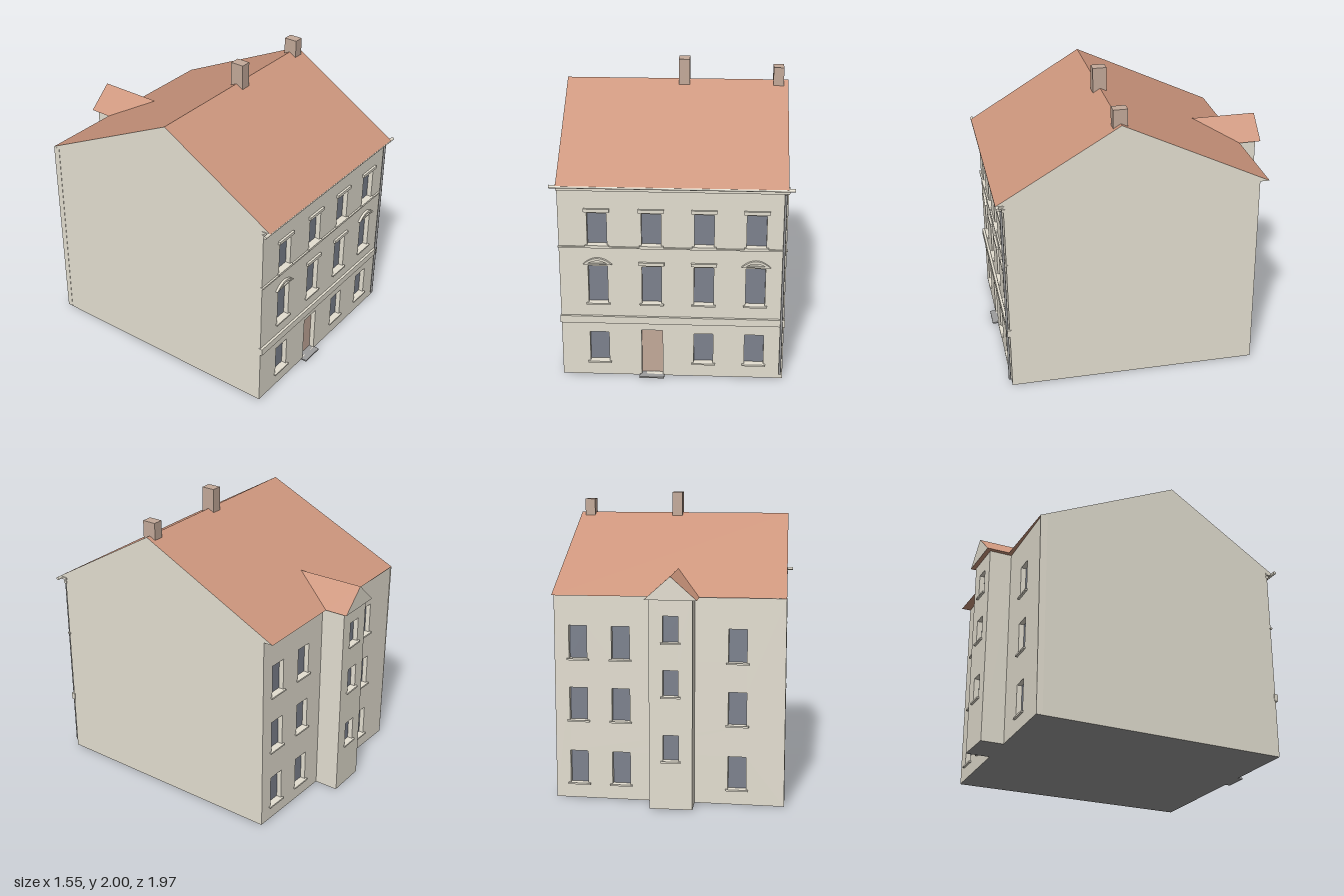
import * as THREE from 'three';

const mat = (name, color) => {
  const m = new THREE.MeshStandardMaterial({ color });
  m.name = name;
  return m;
};

export function createModel() {
  const house = new THREE.Group();
  house.name = 'townHouse';
  const wall = mat('plaster', 0xe4dfd1);
  const tile = mat('roofTile', 0xcd967d);
  const glass = mat('windowGlass', 0x7d828e);
  const brown = mat('doorAndChimneyBrown', 0xc4aa9a);
  const grey = mat('stoneGrey', 0x9d9d9d);

  const add = (parent, name, geo, m) => {
    const mesh = new THREE.Mesh(geo, m);
    mesh.name = name;
    parent.add(mesh);
    return mesh;
  };
  // box given by its lower and upper corner
  const box = (parent, name, m, x0, x1, y0, y1, z0, z1) => {
    const b = add(parent, name, new THREE.BoxGeometry(x1 - x0, y1 - y0, z1 - z0), m);
    b.position.set((x0 + x1) / 2, (y0 + y1) / 2, (z0 + z1) / 2);
    return b;
  };
  // flat polygons, each split as a fan from its first corner
  const faces = (name, m, polys) => {
    const pos = [];
    for (const p of polys)
      for (let i = 1; i < p.length - 1; i++) pos.push(...p[0], ...p[i], ...p[i + 1]);
    const g = new THREE.BufferGeometry();
    g.setAttribute('position', new THREE.Float32BufferAttribute(pos, 3));
    g.computeVertexNormals();
    return add(house, name, g, m);
  };

  // the plan widens slightly towards the back
  const ZF = 0.93, EAVE = 1.375, RIDGE = 1.855, RZ = 0.165, E0 = 0.98, E1 = -0.83;
  const xl = z => -0.734 - 0.0166 * (E0 - z);
  const xr = z => 0.733 + 0.0138 * (E0 - z);
  const BR = -0.765, BL = -0.822, DEPTH = 0.04;

  // wall panel from a to b (seen from outside) with recessed openings and sills
  const facade = (name, a, b, openings) => {
    const g = new THREE.Group();
    g.name = name;
    g.position.set(a[0], 0, a[1]);
    g.rotation.y = Math.atan2(a[1] - b[1], b[0] - a[0]);
    house.add(g);
    const len = Math.hypot(b[0] - a[0], b[1] - a[1]);
    const rect = (S, x0, x1, y0, y1) => {
      const s = new S();
      s.moveTo(x0, y0); s.lineTo(x1, y0); s.lineTo(x1, y1); s.lineTo(x0, y1); s.closePath();
      return s;
    };
    const shape = rect(THREE.Shape, 0, len, 0.002, EAVE - 0.002);
    for (const o of openings) {
      const u = Math.abs(o.x - a[0]), x0 = u - o.w / 2, x1 = u + o.w / 2;
      shape.holes.push(rect(THREE.Path, x0, x1, o.y0, o.y1));
      box(g, o.door ? 'door' : 'windowPane', o.door ? brown : glass,
        x0, x1, o.y0, o.y1, -DEPTH, -DEPTH + 0.006);
      if (!o.door) box(g, 'windowSill', wall, x0 - 0.015, x1 + 0.015, o.y0 - 0.011, o.y0, -0.03, 0.015);
    }
    const geo = new THREE.ExtrudeGeometry(shape, { depth: DEPTH, bevelEnabled: false });
    geo.translate(0, 0, -DEPTH);
    add(g, name + 'Wall', geo, wall);
  };

  // front openings
  const columns = [-0.485, -0.135, 0.205, 0.54];
  const front = [{ x: -0.135, w: 0.14, y0: 0.01, y1: 0.342, door: true }];
  columns.forEach((x, i) => {
    if (i !== 1) front.push({ x, w: 0.127, y0: 0.105, y1: 0.322 });
    front.push({ x, w: 0.127, y0: 0.54, y1: 0.805 }, { x, w: 0.127, y0: 0.955, y1: 1.175 });
  });
  facade('front', [xl(ZF), ZF], [xr(ZF), ZF], front);

  // back openings
  const back = [];
  for (const x of [0.6, 0.315, -0.455])
    for (const y0 of [0.105, 0.535, 0.95]) back.push({ x, w: 0.12, y0, y1: y0 + 0.22 });
  facade('back', [xr(BR), BR], [xl(BL), BL], back);

  // stair tower
  const T0 = -0.175, T1 = 0.105, TZ = -0.955, TI = -0.76;
  facade('stairTower', [T1, TZ], [T0, TZ],
    [0.325, 0.75, 1.1].map(y0 => ({ x: -0.035, w: 0.1, y0, y1: y0 + 0.17 })));
  faces('stairTowerSides', wall, [
    [[T1, 0, TI], [T1, 0, TZ], [T1, EAVE, TZ], [T1, EAVE, TI]],
    [[T0, 0, TZ], [T0, 0, TI], [T0, EAVE, TI], [T0, EAVE, TZ]],
  ]);

  // gable walls and underside
  const side = (f, zb) => [[RIDGE, RZ], [EAVE, E0], [EAVE, ZF], [0, ZF], [0, zb], [EAVE, zb], [EAVE, E1]]
    .map(([y, z]) => [f(z), y, z]);
  faces('gableWalls', wall, [side(xr, BR), side(xl, BL).reverse()]);
  faces('underside', grey, [
    [[xl(ZF), 0, ZF], [xl(BL), 0, BL], [xr(BR), 0, BR], [xr(ZF), 0, ZF]],
    [[T0, 0, BR], [T0, 0, TZ], [T1, 0, TZ], [T1, 0, BR]],
  ]);

  // main roof slopes and soffit
  const P = (f, y, z) => [f(z), y, z];
  const fl = P(xl, EAVE, E0), fr = P(xr, EAVE, E0), rl = P(xl, RIDGE, RZ), rr = P(xr, RIDGE, RZ);
  const bl = P(xl, EAVE, E1), br = P(xr, EAVE, E1);
  faces('mainRoof', tile, [[fl, fr, rr, rl], [br, bl, rl, rr], [fl, bl, br, fr]]);

  // tower roof running into the back slope
  const TE = -0.985, L = -0.206, R = 0.132, M = -0.037;
  const top = [M, 1.525, TE], meet = [M, 1.525, -0.525];
  faces('towerRoof', tile, [
    [[R, EAVE, E1], [R, EAVE, TE], top, meet],
    [[L, EAVE, TE], [L, EAVE, E1], meet, top],
    [[L, EAVE, E1], [L, EAVE, TE], [R, EAVE, TE], [R, EAVE, E1]],
  ]);
  faces('towerGable', wall, [[[R, EAVE, TE], [L, EAVE, TE], top]]);

  // chimneys
  box(house, 'middleChimney', brown, 0.008, 0.082, 1.79, 2.0, 0.12, 0.215);
  box(house, 'leftChimney', brown, 0.643, 0.713, 1.79, 1.95, 0.12, 0.215);

  // string courses, frieze and cornice
  const bands = [['lowerBand', 0.395, 0.445, 0.017], ['upperBand', 0.935, 0.945, 0.012],
    ['frieze', 1.33, 1.35, 0.012], ['cornice', 1.358, 1.373, 0.03]];
  for (const [name, y0, y1, out] of bands)
    box(house, name, wall, -0.74, 0.74, y0, y1, ZF - 0.01, ZF + out);

  // window hoods, arched over the outer first floor windows
  const arch = new THREE.Shape();
  arch.moveTo(-0.095, 0.82);
  arch.quadraticCurveTo(0, 0.91, 0.095, 0.82);
  arch.lineTo(0.075, 0.82);
  arch.quadraticCurveTo(0, 0.875, -0.075, 0.82);
  arch.closePath();
  const archGeo = new THREE.ExtrudeGeometry(arch, { depth: 0.018, bevelEnabled: false, curveSegments: 10 });
  columns.forEach((x, i) => {
    box(house, 'upperHood', wall, x - 0.083, x + 0.083, 1.187, 1.208, ZF - 0.005, ZF + 0.016);
    if (i === 0 || i === 3) {
      add(house, 'archedHood', archGeo, wall).position.set(x, 0, ZF - 0.001);
      box(house, 'archedHoodBase', wall, x - 0.083, x + 0.083, 0.817, 0.826, ZF - 0.005, ZF + 0.012);
    } else box(house, 'straightHood', wall, x - 0.083, x + 0.083, 0.817, 0.838, ZF - 0.005, ZF + 0.016);
  });

  // gutter, downpipe and doorstep
  const gutter = add(house, 'gutter', new THREE.CylinderGeometry(0.011, 0.011, 1.55, 10), wall);
  gutter.rotation.z = Math.PI / 2;
  gutter.position.set(-0.002, 1.368, 0.97);
  const pipe = add(house, 'downpipe', new THREE.CylinderGeometry(0.008, 0.008, 1.29, 10), grey);
  pipe.position.set(0.716, 0.685, 0.945);
  box(house, 'doorstep', grey, -0.22, -0.055, 0, 0.01, 0.88, 0.97);

  return house;
}
